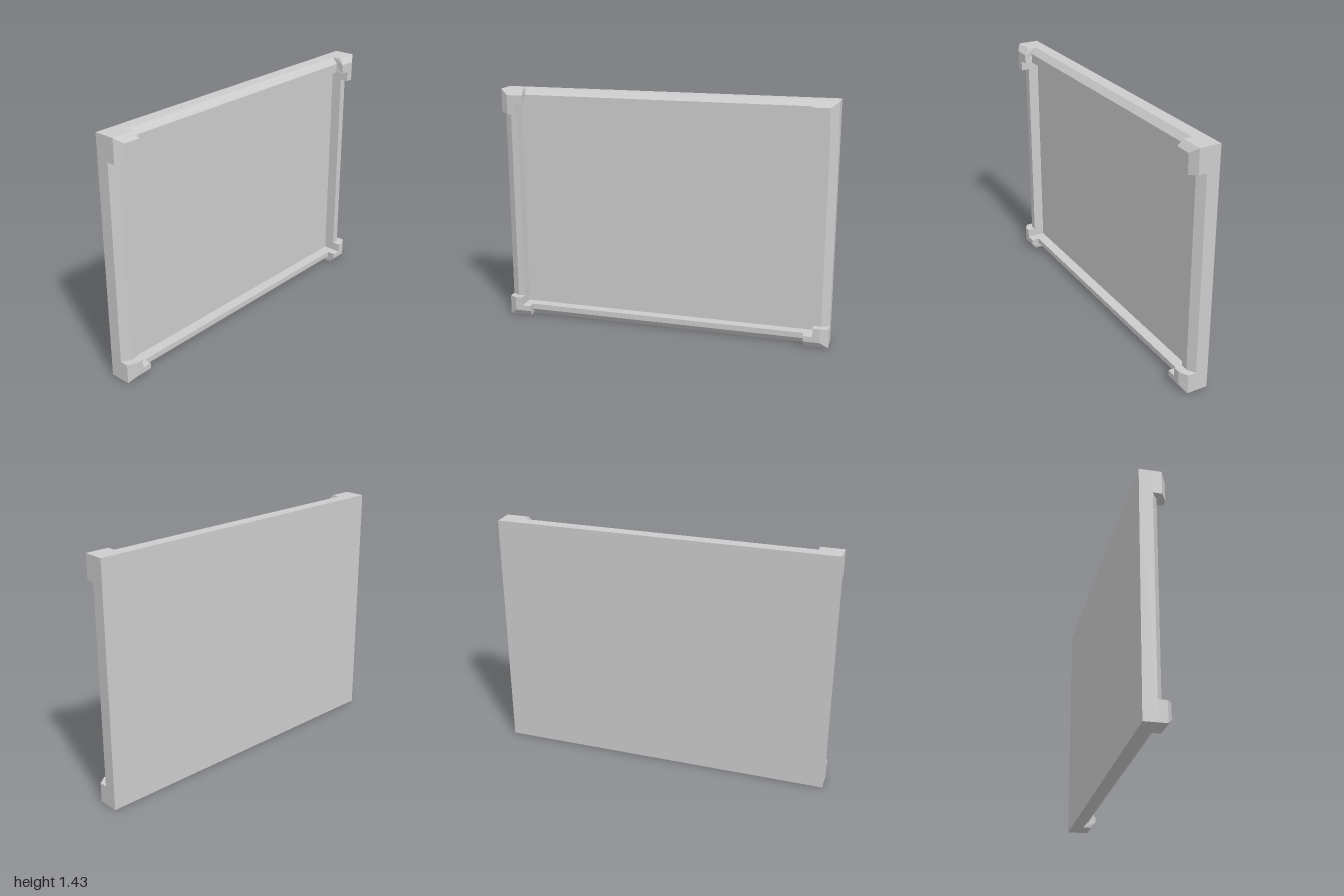
import * as THREE from 'three';

const HEIGHT = 1.43;
const material = new THREE.MeshStandardMaterial({ color: 0xcccccc, flatShading: true });

// Insets from the outer edge: outer rim, end of the chamfer, inner wall
const inset = {
  top: [0, 0.035, 0.09],
  bottom: [0, 0.037, 0.07],
  side: [0, 0.047, 0.09],
};

// Skins closed cross-sections in order and caps both ends
function loft(rings, flip = false) {
  const pos = [];
  const tri = (a, b, c) => pos.push(...a, ...(flip ? c : b), ...(flip ? b : c));
  const n = rings[0].length;
  for (let k = 0; k < rings.length - 1; k++) {
    for (let i = 0; i < n; i++) {
      const j = (i + 1) % n;
      tri(rings[k][i], rings[k][j], rings[k + 1][j]);
      tri(rings[k][i], rings[k + 1][j], rings[k + 1][i]);
    }
  }
  const first = rings[0], last = rings[rings.length - 1];
  for (let i = 1; i < n - 1; i++) {
    tri(first[0], first[i + 1], first[i]);
    tri(last[0], last[i], last[i + 1]);
  }
  const geometry = new THREE.BufferGeometry();
  geometry.setAttribute('position', new THREE.Float32BufferAttribute(pos, 3));
  geometry.computeVertexNormals();
  return geometry;
}

function addMesh(group, name, geometry) {
  const mesh = new THREE.Mesh(geometry, material);
  mesh.name = name;
  group.add(mesh);
}

// Rectangle at depth x, stepped in by the given inset level
function rectangle(x, level) {
  const b = inset.bottom[level], t = HEIGHT - inset.top[level], z = 1 - inset.side[level];
  return [[x, b, z], [x, b, -z], [x, t, -z], [x, t, z]];
}

// L-shaped raised cap that wraps one corner of the frame
function cornerCap(isTop, side) {
  const profile = [[-0.005, 0], [0.045, 0], [0.075, 1], [0.075, 2], [0.027, 2]];
  const yInset = isTop ? inset.top : inset.bottom;
  const yArm = isTop ? [0.14, 0.15, 0.15] : [0.117, 0.122, 0.122];
  const zArm = [0.137, 0.145, 0.145];
  const section = (ys, zs) => profile.map(([x, level]) =>
    [x, isTop ? HEIGHT - ys[level] : ys[level], side * (1 - zs[level])]);
  return loft([
    section(yInset, zArm),
    section(yInset, inset.side),
    section(yArm, inset.side),
  ], isTop === (side > 0));
}

export function createModel() {
  const group = new THREE.Group();
  group.name = 'framedPanel';

  // Flat back, chamfered rim and recessed panel
  const profile = [[-0.08, 0], [-0.005, 0], [0.027, 1], [0.027, 2], [-0.037, 2]];
  addMesh(group, 'panelAndFrame', loft(profile.map(([x, level]) => rectangle(x, level))));

  // Four corner caps
  for (const isTop of [true, false]) {
    for (const side of [1, -1]) {
      const name = (isTop ? 'top' : 'bottom') + (side > 0 ? 'Front' : 'Back') + 'CornerCap';
      addMesh(group, name, cornerCap(isTop, side));
    }
  }
  return group;
}
